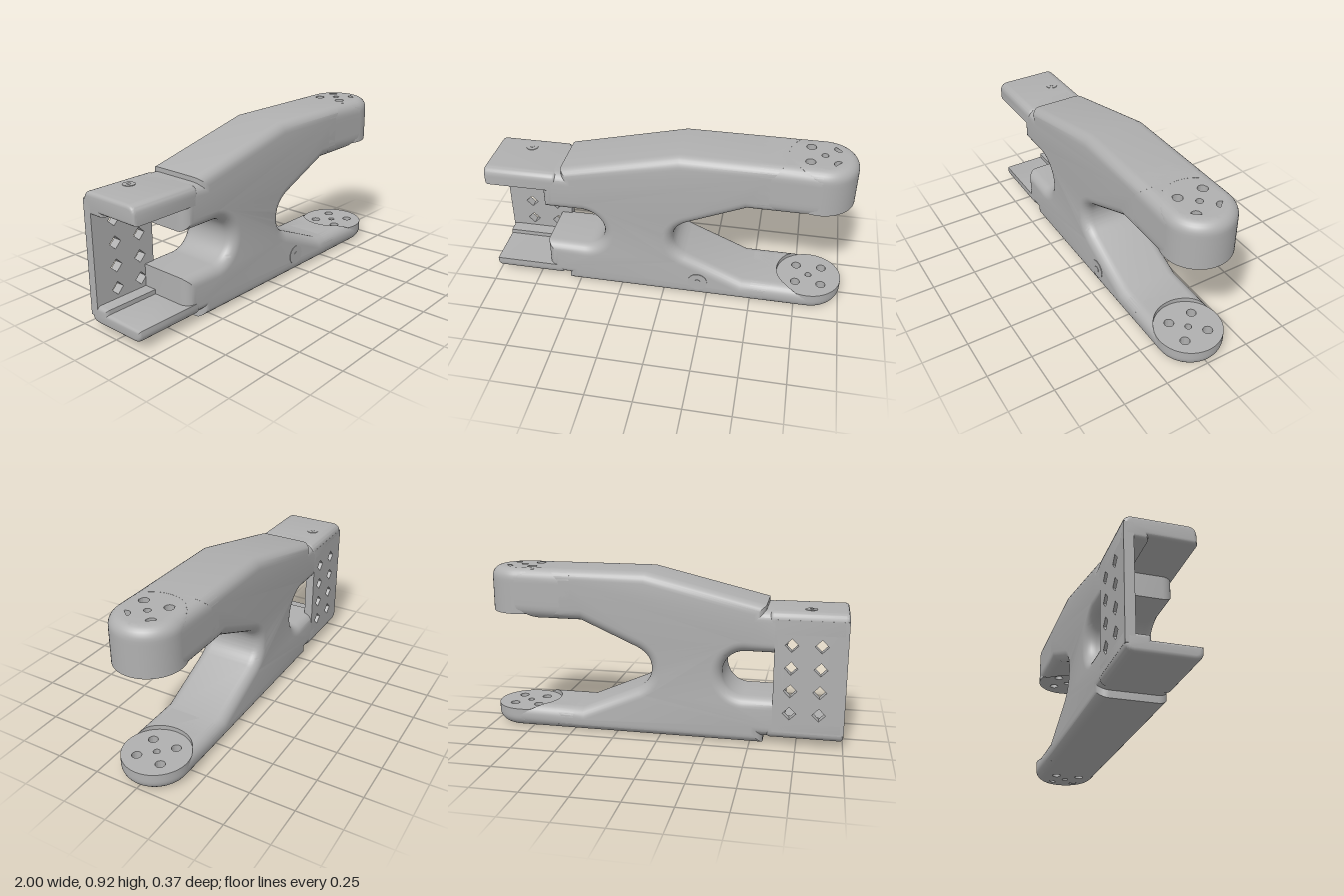
import * as THREE from 'three';
import { toCreasedNormals } from 'three/addons/utils/BufferGeometryUtils.js';

const HALF = 0.183;   // half thickness in z
const R = 0.06;       // edge rounding
const TIP = 0.82;     // x of jaw tip centre
const V = (x, y) => new THREE.Vector2(x, y);

export function createModel() {
  const group = new THREE.Group();
  const metal = new THREE.MeshStandardMaterial({ color: 0xb0b0b0 });
  metal.name = 'grey metal';

  const add = (geometry, name, parent = group) => {
    const mesh = new THREE.Mesh(toCreasedNormals(geometry, 0.6), metal);
    mesh.name = name;
    parent.add(mesh);
    return mesh;
  };

  // Half width of a rounded edge at distance d from the flat surface
  const widthAt = (d) => d >= R ? HALF : HALF - R + Math.sqrt(Math.max(0, R * R - (R - d) ** 2));

  // Extrude a plan shape upwards, then move each vertex by a rule
  const extrudeUp = (shape, level, rule) => {
    const g = new THREE.ExtrudeGeometry(shape, { depth: 1, steps: 14, bevelEnabled: false, curveSegments: 36 });
    g.rotateX(-Math.PI / 2);
    const p = g.attributes.position;
    for (let i = 0; i < p.count; i++) {
      const u = level(p.getY(i));
      const [x, z] = rule(p.getX(i), p.getZ(i), u);
      p.setXYZ(i, x, u, z);
    }
    return g;
  };

  // Main frame with the jaw opening on one side and a slot on the other
  const s = new THREE.Shape();
  s.moveTo(-0.57, 0);
  s.lineTo(0.62, 0);
  s.lineTo(0.62, 0.13);
  s.lineTo(0.45, 0.13);
  s.lineTo(0.13, 0.27);
  s.quadraticCurveTo(0.05, 0.31, 0.05, 0.385);
  s.quadraticCurveTo(0.05, 0.46, 0.13, 0.5);
  s.lineTo(0.45, 0.64);
  s.lineTo(0.62, 0.64);
  s.lineTo(0.62, 0.92);
  s.lineTo(0.08, 0.92);
  s.lineTo(-0.57, 0.765);
  s.lineTo(-0.57, 0.74);
  s.lineTo(-0.68, 0.74);
  s.lineTo(-0.68, 0.51);
  s.lineTo(-0.465, 0.51);
  s.absarc(-0.465, 0.385, 0.125, Math.PI / 2, -Math.PI / 2, true);
  s.lineTo(-0.68, 0.26);
  s.lineTo(-0.68, 0.04);
  s.lineTo(-0.57, 0.04);
  s.closePath();
  const frame = new THREE.ExtrudeGeometry(s, {
    depth: 2 * (HALF - R), bevelSize: R, bevelOffset: -R, bevelThickness: R, bevelSegments: 7, curveSegments: 20,
  });
  frame.translate(0, 0, R - HALF);
  add(frame, 'frame');

  // Jaw end, built upwards from its outer face: arm block with a round recess, and a drilled round tip
  const jaw = (name, pad, inner) => {
    const g = new THREE.Group();
    g.name = name;
    const arm = new THREE.Shape();
    arm.moveTo(0.5, -HALF);
    arm.lineTo(TIP, -HALF);
    arm.absarc(TIP, 0, HALF, Math.PI * 1.5, Math.PI / 2, true);
    arm.lineTo(0.5, HALF);
    arm.closePath();
    add(extrudeUp(arm, (t) => inner * (0.5 - 0.5 * Math.cos(Math.PI * t)), (x, z, u) => {
      const w = Math.min(Math.abs(z), widthAt(Math.min(u, inner - u)));
      const onArc = x > 0.51 && u > inner / 2;
      return [onArc ? TIP - Math.sqrt(Math.max(0, HALF * HALF - w * w)) : x, Math.sign(z) * w];
    }), name + 'Arm', g);

    const disc = new THREE.Shape();
    disc.absarc(TIP, 0, HALF, 0, Math.PI * 2, false);
    const hole = (x, z, r) => {
      const h = new THREE.Path();
      h.absarc(x, z, r, 0, Math.PI * 2, true);
      disc.holes.push(h);
    };
    for (const a of [-1, 1]) for (const b of [-1, 1]) hole(TIP + a * 0.072, b * 0.072, 0.026);
    hole(TIP, 0, 0.018);
    add(extrudeUp(disc, (t) => 0.0005 + (pad - 0.0005) * t * t, (x, z, u) => {
      const w = widthAt(u);
      if (x < TIP) return [x, THREE.MathUtils.clamp(z, -w, w)];
      const rho = Math.hypot(x - TIP, z);
      const k = rho > 0.15 ? w / rho : 1;
      return [TIP + (x - TIP) * k, z * k];
    }), name + 'Tip', g);
    group.add(g);
    return g;
  };
  jaw('lowerJaw', 0.105, 0.13);
  const upper = jaw('upperJaw', 0.255, 0.28);
  upper.rotation.x = Math.PI;
  upper.position.y = 0.92;

  // Mounting flanges: cross-section with rounded outer corners and a ledge by the back plate
  const flange = (name, outer, d, front, back) => {
    const c = new THREE.Shape();
    const r = 0.05;
    c.moveTo(-HALF, front);
    c.lineTo(-HALF, outer - d * r);
    c.quadraticCurveTo(-HALF, outer, r - HALF, outer);
    c.lineTo(HALF - r, outer);
    c.quadraticCurveTo(HALF, outer, HALF, outer - d * r);
    c.lineTo(HALF, back);
    c.lineTo(0.06, back);
    c.lineTo(0.06, front);
    c.closePath();
    const b = 0.02;
    const g = new THREE.ExtrudeGeometry(c, {
      depth: 0.41 - 2 * b, bevelSize: b, bevelOffset: -b, bevelThickness: b, bevelSegments: 4, curveSegments: 10,
    });
    g.rotateY(Math.PI / 2);
    g.translate(-1 + b, 0, 0);
    add(g, name);
  };
  flange('upperFlange', 0.74, 1, 0.64, 0.622);
  flange('lowerFlange', 0.04, -1, 0.11, 0.135);

  // Back plate with two columns of diamond holes
  const plate = new THREE.Shape([V(-1, 0.08), V(-0.62, 0.08), V(-0.62, 0.7), V(-1, 0.7)]);
  for (const x of [-0.865, -0.71]) {
    for (let i = 0; i < 4; i++) {
      const y = 0.19 + i * 0.125;
      const q = 0.036;
      plate.holes.push(new THREE.Path([V(x - q, y), V(x, y + q), V(x + q, y), V(x, y - q)]));
    }
  }
  const plateGeo = new THREE.ExtrudeGeometry(plate, { depth: 0.05, bevelEnabled: false });
  plateGeo.translate(0, 0, -HALF);
  add(plateGeo, 'backPlate');

  // Screws: one on the front face, one on the upper flange
  const screw = (name, r) => {
    const g = new THREE.Group();
    g.name = name;
    add(new THREE.CylinderGeometry(r, r, 0.006, 28), name + 'Head', g);
    add(new THREE.CylinderGeometry(r * 0.35, r * 0.35, 0.01, 6), name + 'Socket', g);
    group.add(g);
    return g;
  };
  const frontScrew = screw('frontScrew', 0.055);
  frontScrew.rotation.x = Math.PI / 2;
  frontScrew.position.set(0.2, 0.11, HALF);
  screw('flangeScrew', 0.033).position.set(-0.8, 0.74, -0.08);

  return group;
}
